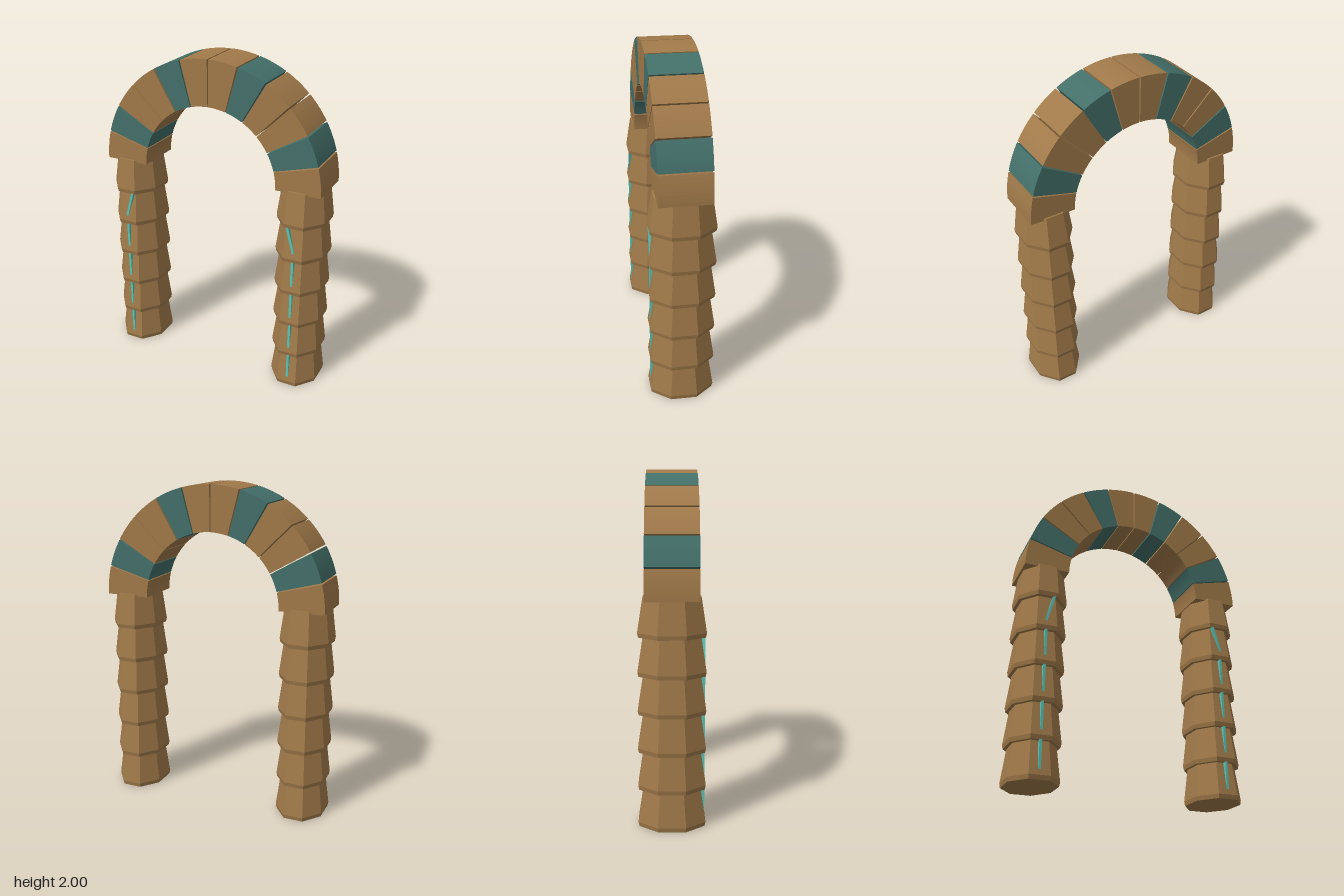
import * as THREE from 'three';

const sandstone = new THREE.MeshStandardMaterial({ color: 0xa17a4a });
sandstone.name = 'sandstone';
const darkTeal = new THREE.MeshStandardMaterial({ color: 0x44706a });
darkTeal.name = 'dark teal stone';
const paleTeal = new THREE.MeshStandardMaterial({ color: 0x5cc4b4 });
paleTeal.name = 'pale teal inlay';

const PILLAR_X = 0.566, DRUM_H = 0.2183, DRUMS = 6;
const ARCH_Y = 1.293, R_OUT = 0.707, R_IN = 0.432, DEPTH = 0.3, BLOCKS = 12;

function add(parent, name, geometry, material) {
  const mesh = new THREE.Mesh(geometry, material);
  mesh.name = name;
  parent.add(mesh);
  return mesh;
}

// Tapered octagonal drum with a small bevel at the foot, faceted
function drumGeometry() {
  const k = 1 / Math.cos(Math.PI / 8);
  const profile = [[0, 0], [0.97, 0], [1, 0.025], [0.845, DRUM_H], [0, DRUM_H]]
    .map(([r, y]) => new THREE.Vector2(r * k, y));
  const lathe = new THREE.LatheGeometry(profile, 8, Math.PI / 8);
  lathe.scale(0.149, 1, 0.19);
  const flat = lathe.toNonIndexed();
  flat.computeVertexNormals();
  return flat;
}

// Wedge-shaped arch stone between two angles
function wedgeGeometry(a0, a1) {
  const shape = new THREE.Shape();
  shape.absarc(0, 0, R_OUT, a0, a1, false);
  shape.absarc(0, 0, R_IN, a1, a0, true);
  const g = new THREE.ExtrudeGeometry(shape, { depth: DEPTH, bevelEnabled: false, curveSegments: 4 });
  g.translate(0, ARCH_Y, -DEPTH / 2);
  return g;
}

export function createModel() {
  const model = new THREE.Group();
  model.name = 'stoneArch';

  const drum = drumGeometry();
  for (const side of [1, -1]) {
    const pillar = new THREE.Group();
    pillar.name = side > 0 ? 'leftPillar' : 'rightPillar';
    pillar.position.x = side * PILLAR_X;
    model.add(pillar);
    for (let i = 0; i < DRUMS; i++) {
      add(pillar, 'drum', drum, sandstone).position.y = i * DRUM_H;
    }

    // Inlay strip on the front, bending inward near the top
    add(pillar, 'inlayStrip', new THREE.BoxGeometry(0.015, 0.89, 0.025), paleTeal)
      .position.set(side * 0.002, 0.495, 0.1725);
    const bend = add(pillar, 'inlayBend', new THREE.BoxGeometry(0.015, 0.175, 0.025), paleTeal);
    bend.position.set(side * -0.02, 1.022, 0.1725);
    bend.rotation.z = side * 0.275;
  }

  // Arch ring: twelve wedges with narrow gaps, every third accent stone teal
  const arch = new THREE.Group();
  arch.name = 'archRing';
  model.add(arch);
  const step = Math.PI / BLOCKS, gap = 0.0065;
  for (let i = 0; i < BLOCKS; i++) {
    const fromEnd = Math.min(i, BLOCKS - 1 - i);
    const accent = fromEnd === 1 || fromEnd === 4;
    add(arch, accent ? 'accentStone' : 'archStone',
      wedgeGeometry(i * step + gap, (i + 1) * step - gap), accent ? darkTeal : sandstone);
  }
  return model;
}
